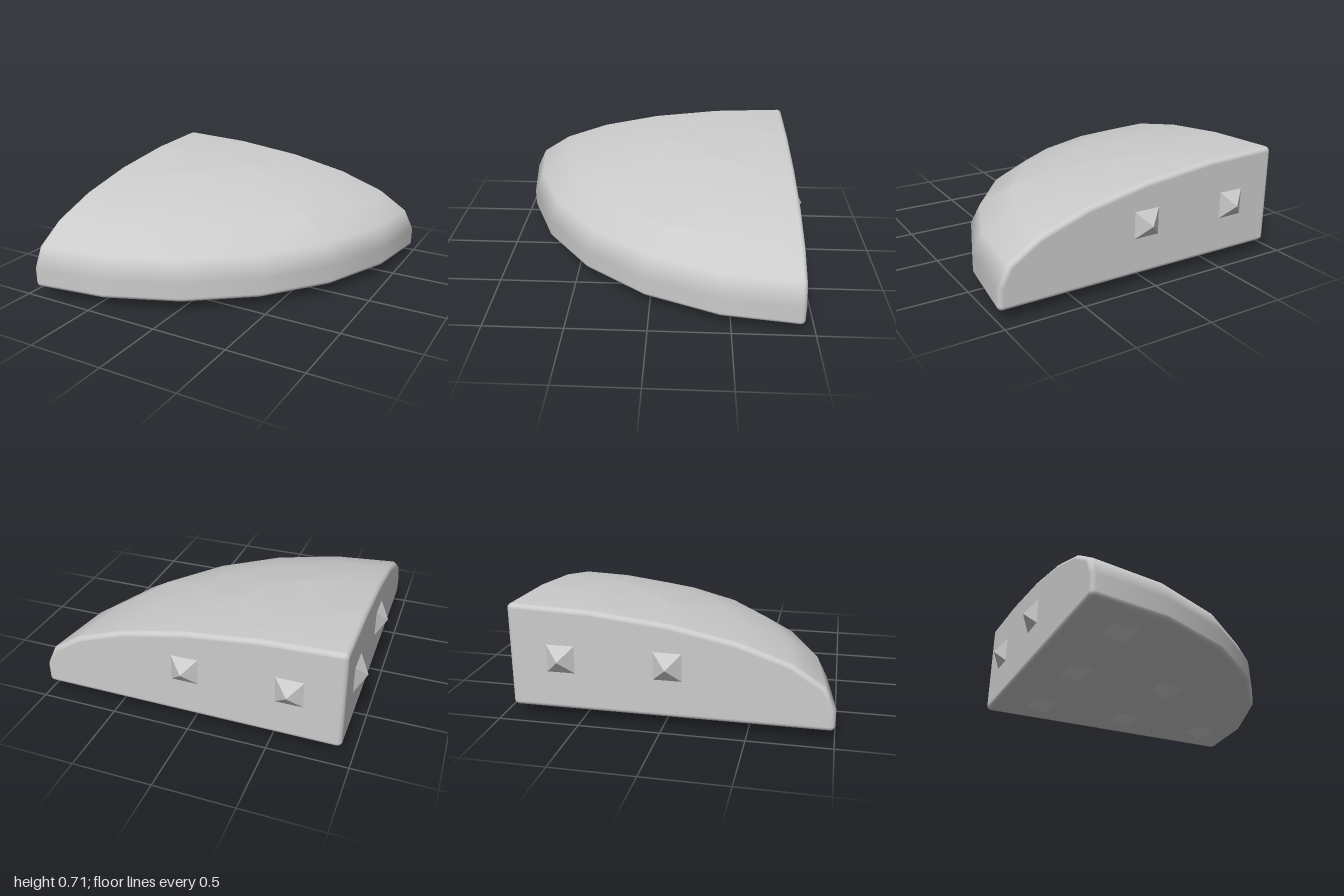
import * as THREE from 'three';
import { ConvexGeometry } from 'three/addons/geometries/ConvexGeometry.js';

const CORNER = -0.933;   // x and z of the two flat walls
const RADIUS = 1.933;
const BOTTOM = 0.067, RIM = 0.2, TOP = 0.712;
const BEVEL = 0.03;
const STEPS = 6;         // 15 degree facets
const material = new THREE.MeshStandardMaterial({ color: 0xcccccc });

// Quarter dome: convex hull of the facet corners, with rounded edges and smooth normals
function domeGeometry() {
  const points = [], normals = new Map();
  const key = (p) => [p.x, p.y, p.z].map((v) => Math.round(v * 1e4)).join();

  // A corner where one, two or three perpendicular surfaces meet, rounded by the bevel
  function addCorner(position, sides) {
    const centre = position.clone();
    sides.forEach((n) => centre.addScaledVector(n, -BEVEL));
    const [a, b, c] = sides, N = 4;
    for (let i = 0; i <= (b ? N : 0); i++) {
      for (let j = 0; j <= (c ? N - i : 0); j++) {
        const n = a.clone().multiplyScalar(N - i - j);
        if (b) n.addScaledVector(b, i);
        if (c) n.addScaledVector(c, j);
        n.normalize();
        const p = centre.clone().addScaledVector(n, BEVEL);
        points.push(p);
        normals.set(key(p), n);
      }
    }
  }

  const up = new THREE.Vector3(0, 1, 0), down = new THREE.Vector3(0, -1, 0);
  const left = new THREE.Vector3(-1, 0, 0), back = new THREE.Vector3(0, 0, -1);
  const height = TOP - RIM;
  for (let i = 0; i <= STEPS; i++) {
    const phi = (i / STEPS) * Math.PI / 2;
    const radial = new THREE.Vector3(Math.cos(phi), 0, Math.sin(phi));
    const wall = i === 0 ? [back] : i === STEPS ? [left] : [];
    const at = (r, y) => new THREE.Vector3(CORNER + r * radial.x, y, CORNER + r * radial.z);
    addCorner(at(RADIUS, BOTTOM), [radial, down, ...wall]);
    for (let k = 0; k < STEPS; k++) {
      const t = (k / STEPS) * Math.PI / 2;
      const n = radial.clone().multiplyScalar(Math.cos(t) / RADIUS);
      n.y = Math.sin(t) / height;
      addCorner(at(RADIUS * Math.cos(t), RIM + height * Math.sin(t)), [n.normalize(), ...wall]);
    }
  }
  addCorner(new THREE.Vector3(CORNER, TOP, CORNER), [up, left, back]);
  addCorner(new THREE.Vector3(CORNER, BOTTOM, CORNER), [down, left, back]);

  const geometry = new ConvexGeometry(points);
  const pos = geometry.attributes.position, nor = geometry.attributes.normal;
  const p = new THREE.Vector3();
  for (let i = 0; i < pos.count; i++) {
    const n = normals.get(key(p.fromBufferAttribute(pos, i)));
    if (n) nor.setXYZ(i, n.x, n.y, n.z);
  }
  return geometry;
}

export function createModel() {
  const model = new THREE.Group();
  const dome = new THREE.Mesh(domeGeometry(), material);
  dome.name = 'quarterDome';
  model.add(dome);

  // Square pyramid studs, base on the surface and tip pointing along +y before turning
  const HEIGHT = 0.067, HALF = 0.085;
  const studGeometry = new THREE.ConeGeometry(HALF * Math.SQRT2, HEIGHT, 4, 1)
    .rotateY(Math.PI / 4).translate(0, HEIGHT / 2, 0).toNonIndexed();
  studGeometry.computeVertexNormals();
  function addStud(name, x, y, z, rx, rz) {
    const stud = new THREE.Mesh(studGeometry, material);
    stud.name = name;
    stud.position.set(x, y, z);
    stud.rotation.set(rx, 0, rz);
    model.add(stud);
  }

  const spots = [-0.613, 0.033, 0.68], wallY = 0.39;
  // Underside studs in a triangle
  spots.forEach((x, i) => spots.forEach((z, j) => {
    if (i + j < 3) addStud('bottomStud', x, BOTTOM, z, Math.PI, 0);
  }));
  // Two studs on each flat wall
  for (const s of spots.slice(0, 2)) {
    addStud('backStud', s, wallY, CORNER, -Math.PI / 2, 0);
    addStud('sideStud', CORNER, wallY, s, 0, Math.PI / 2);
  }
  return model;
}
